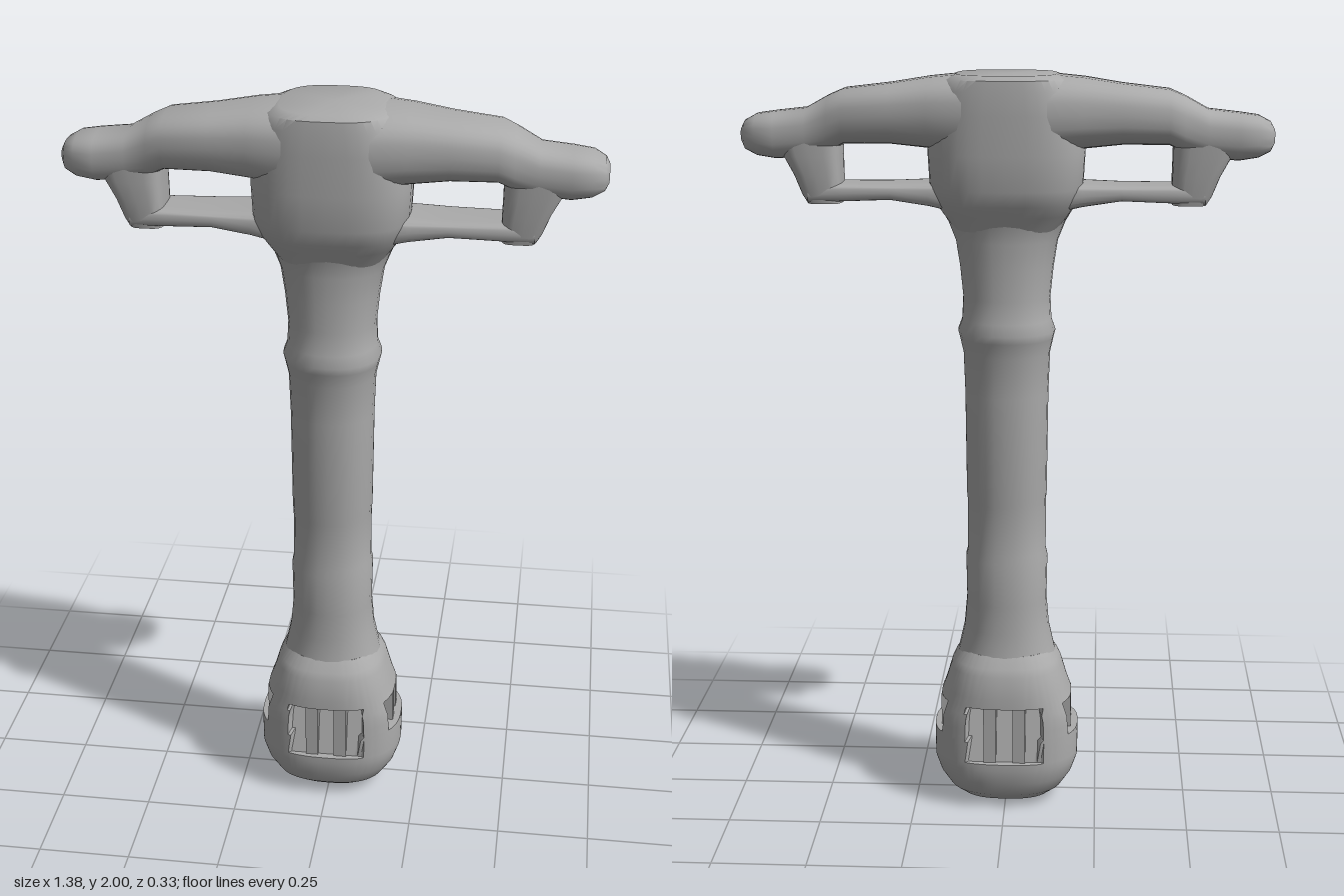
import * as THREE from 'three';
import { toCreasedNormals } from 'three/addons/utils/BufferGeometryUtils.js';

const steel = new THREE.MeshStandardMaterial({ color: 0xaaaaaa });
steel.name = 'grey metal';

// Loft of rounded-square rings stacked along y; each ring is [y, halfX, halfZ, centreX].
function loft(rings, power, sides = 28, move = null) {
  const pos = [], index = [];
  const round = (v) => Math.sign(v) * Math.pow(Math.abs(v), 2 / power);
  for (const [y, rx, rz, cx = 0] of rings) {
    for (let j = 0; j < sides; j++) {
      const a = (j / sides) * Math.PI * 2;
      const p = new THREE.Vector3(cx + rx * round(Math.cos(a)), y, rz * round(Math.sin(a)));
      if (move) move(p);
      pos.push(p.x, p.y, p.z);
    }
  }
  const last = rings.length - 1, bottom = rings.length * sides, top = bottom + 1;
  pos.push(rings[0][3] || 0, rings[0][0], 0, rings[last][3] || 0, rings[last][0], 0);
  for (let j = 0; j < sides; j++) {
    const k = (j + 1) % sides;
    for (let i = 0; i < last; i++) {
      const a = i * sides + j, b = i * sides + k, c = a + sides, d = b + sides;
      index.push(a, c, b, b, c, d);
    }
    index.push(bottom, j, k, top, last * sides + k, last * sides + j);
  }
  const g = new THREE.BufferGeometry();
  g.setAttribute('position', new THREE.Float32BufferAttribute(pos, 3));
  g.setIndex(index);
  return toCreasedNormals(g, 0.75);
}

// Loft along x from rings of [x, topY, bottomY, halfZ].
function beam(rings, power) {
  const g = loft(rings.map(([x, t, b, hz]) => [x, (t - b) / 2, hz, -(t + b) / 2]), power);
  return g.rotateZ(-Math.PI / 2);
}

// Insert extra rings at the given heights by linear interpolation.
function refine(rings, heights) {
  const extra = heights.map((y) => {
    const i = rings.findIndex((r) => r[0] > y);
    const a = rings[i - 1], b = rings[i], t = (y - a[0]) / (b[0] - a[0]);
    return a.map((v, k) => v + (b[k] - v) * t);
  });
  return [...rings, ...extra].sort((a, b) => a[0] - b[0]);
}

export function createModel() {
  const group = new THREE.Group();
  const add = (name, geometry) => {
    const mesh = new THREE.Mesh(geometry, steel);
    mesh.name = name;
    group.add(mesh);
    return mesh;
  };

  // Shaft with a raised collar, flaring at both ends
  add('shaft', loft([
    [0.36, 0.15, 0.14], [0.42, 0.135, 0.125], [0.5, 0.117, 0.116], [0.58, 0.11, 0.115],
    [0.7, 0.112, 0.115], [0.72, 0.107, 0.111], [0.86, 0.107, 0.111], [0.88, 0.109, 0.113],
    [1.16, 0.112, 0.114], [1.27, 0.116, 0.117], [1.31, 0.125, 0.127], [1.33, 0.13, 0.132],
    [1.36, 0.119, 0.121], [1.42, 0.116, 0.114], [1.5, 0.124, 0.113], [1.57, 0.135, 0.112],
    [1.62, 0.155, 0.117], [1.67, 0.185, 0.135],
  ], 2.2));

  // Pommel with sunken windows on its four sides
  const pommelRings = refine([
    [0, 0.09, 0.07], [0.012, 0.125, 0.105], [0.04, 0.158, 0.14], [0.08, 0.185, 0.157],
    [0.12, 0.199, 0.163], [0.2, 0.2, 0.163], [0.26, 0.196, 0.162], [0.33, 0.17, 0.16],
    [0.39, 0.152, 0.152], [0.41, 0.143, 0.142], [0.44, 0.12, 0.12],
  ], [0.139, 0.141, 0.209, 0.211, 0.235, 0.28, 0.299, 0.301]);
  const sink = (p) => {
    if (Math.abs(p.x) < 0.1 && p.y > 0.14 && p.y < 0.3) {
      const floor = 0.145 - 0.045 * (p.y - 0.14) / 0.16;
      p.z = Math.sign(p.z) * Math.min(Math.abs(p.z), floor);
    } else if (Math.abs(p.z) < 0.1 && p.y > 0.21 && p.y < 0.3) {
      const floor = 0.165 - 0.035 * (p.y - 0.21) / 0.09;
      p.x = Math.sign(p.x) * Math.min(Math.abs(p.x), floor);
    }
  };
  add('pommel', loft(pommelRings, 2.6, 120, sink));

  // Upright bars inside the pommel windows
  for (const s of [-1, 1]) {
    for (const t of [-1, 1]) {
      add('frontWindowBar', new THREE.BoxGeometry(0.035, 0.16, 0.05)).position.set(t * 0.04, 0.22, s * 0.125);
      add('sideWindowBar', new THREE.BoxGeometry(0.05, 0.09, 0.03)).position.set(s * 0.155, 0.255, t * 0.035);
    }
  }

  // Central hub of the head
  add('hub', loft([
    [1.6, 0.135, 0.108], [1.64, 0.165, 0.128], [1.67, 0.185, 0.148], [1.71, 0.2, 0.16],
    [1.8, 0.205, 0.162], [1.9, 0.2, 0.163], [1.96, 0.18, 0.161], [1.988, 0.16, 0.157],
    [2.0, 0.13, 0.14],
  ], 2.9, 40));

  // Upper crossbar with rounded grip ends
  const half = [
    [0.12, 2.0, 1.8, 0.152], [0.2, 1.992, 1.81, 0.138], [0.3, 1.976, 1.82, 0.121],
    [0.42, 1.962, 1.82, 0.109], [0.46, 1.945, 1.8, 0.096], [0.52, 1.912, 1.785, 0.082],
    [0.6, 1.903, 1.78, 0.087], [0.65, 1.896, 1.788, 0.08], [0.68, 1.88, 1.803, 0.06],
    [0.69, 1.862, 1.822, 0.038],
  ];
  const mirrored = half.map(([x, ...r]) => [-x, ...r]).reverse();
  add('crossbar', beam([...mirrored, [0, 2.0, 1.8, 0.158], ...half], 2.8));

  // Lower rails and end struts that frame the two openings
  for (const s of [-1, 1]) {
    const rail = [[0.1, 1.73, 1.64, 0.1], [0.2, 1.722, 1.662, 0.09], [0.3, 1.718, 1.677, 0.082],
      [0.42, 1.718, 1.672, 0.076], [0.515, 1.718, 1.667, 0.07]];
    const rings = rail.map(([x, ...r]) => [s * x, ...r]);
    add('lowerRail', beam(s > 0 ? rings : rings.reverse(), 4.5));
    add('endStrut', loft([
      [1.667, 0.045, 0.068, s * 0.475], [1.69, 0.052, 0.072, s * 0.482],
      [1.74, 0.062, 0.076, s * 0.492], [1.79, 0.075, 0.08, s * 0.506],
      [1.85, 0.085, 0.08, s * 0.516],
    ], 4));
  }
  return group;
}
